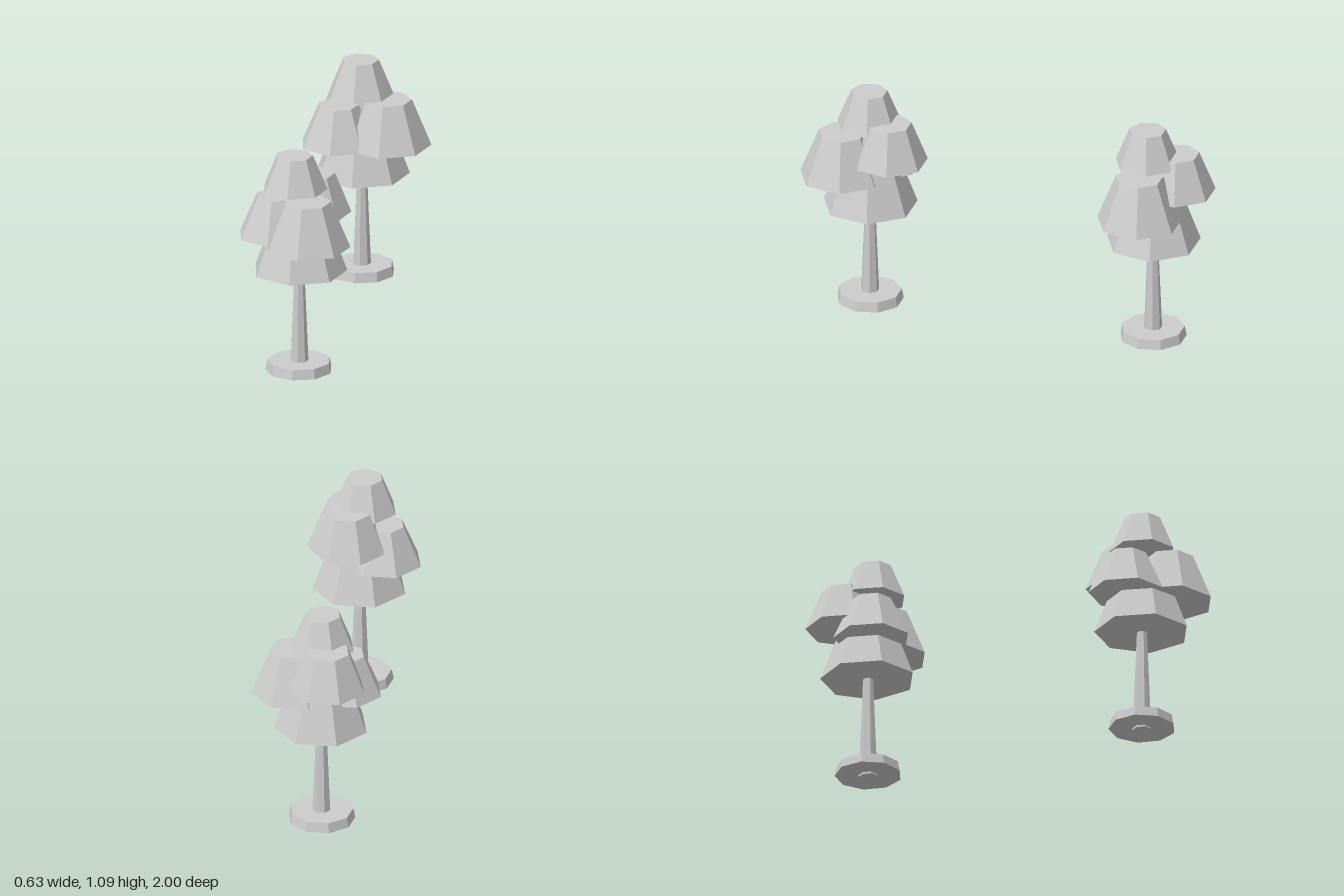
import * as THREE from 'three';

const grey = new THREE.MeshStandardMaterial({ color: 0xcccccc });
grey.name = 'plainGrey';

// Tapered faceted block standing between heights y0 and y1
function taper(name, sides, x, z, y0, y1, bottom, top) {
  const geo = new THREE.CylinderGeometry(top, bottom, y1 - y0, sides).toNonIndexed();
  geo.computeVertexNormals(); // flat facets
  const mesh = new THREE.Mesh(geo, grey);
  mesh.name = name;
  mesh.position.set(x, (y0 + y1) / 2, z);
  return mesh;
}

// Foliage clumps share heights and radii: [y0, y1, bottom radius, top radius]
const CLUMPS = {
  lowerFoliage: [0.51, 0.78, 0.228, 0.128],
  largeFoliage: [0.672, 0.9, 0.207, 0.115],
  sideFoliage: [0.67, 0.868, 0.184, 0.097],
  rearFoliage: [0.77, 0.965, 0.185, 0.107],
  crownFoliage: [0.92, 1.09, 0.157, 0.088],
};

// One tree: trunk position plus the position of each foliage clump
function tree(name, x, z, spots) {
  const g = new THREE.Group();
  g.name = name;
  g.add(taper('base', 9, x, z, 0.01, 0.058, 0.16, 0.151));
  g.add(taper('trunk', 7, x, z, 0, 0.58, 0.046, 0.022));
  for (const [part, [cx, cz]] of Object.entries(spots)) {
    g.add(taper(part, 7, cx, cz, ...CLUMPS[part]));
  }
  return g;
}

export function createModel() {
  const model = new THREE.Group();
  model.name = 'treePair';
  model.add(tree('frontTree', -0.017, 0.674, {
    lowerFoliage: [-0.017, 0.674],
    largeFoliage: [0.045, 0.793],
    sideFoliage: [-0.137, 0.645],
    rearFoliage: [0.024, 0.567],
    crownFoliage: [-0.038, 0.685],
  }));
  model.add(tree('backTree', -0.017, -0.727, {
    lowerFoliage: [-0.017, -0.728],
    largeFoliage: [0.115, -0.699],
    sideFoliage: [-0.119, -0.667],
    rearFoliage: [-0.06, -0.833],
    crownFoliage: [-0.018, -0.7],
  }));
  return model;
}
